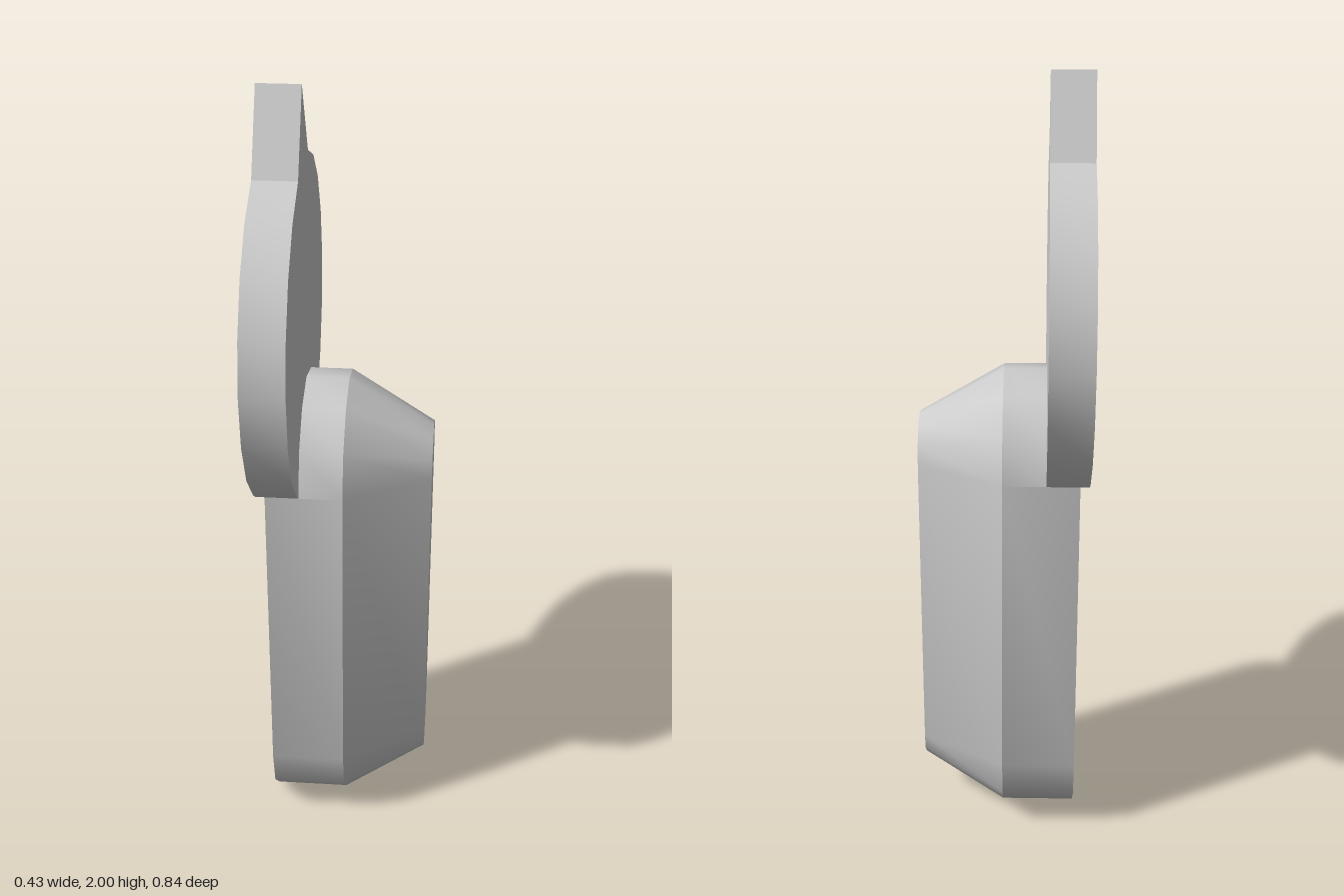
import * as THREE from 'three';
import { mergeGeometries, toCreasedNormals } from 'three/addons/utils/BufferGeometryUtils.js';

const material = new THREE.MeshStandardMaterial({ color: 0xcccccc, side: THREE.DoubleSide });

// Outlines are drawn in a local XY plane, with depth along local z
const DEPTH = { rimBack: -0.213, back: -0.19, plate: -0.107, shoulder: 0, nose: 0.213 };
const DISC = { y: 1.405, r: 0.42 };
const BODY = { low: 0.22, high: 1.045, r: 0.22 };
const NOSE = { low: 0.229, high: 1.042, r: 0.1 };

// Points on an arc, counterclockwise from angle a to angle b
function arc(cy, r, a, b, n) {
  return Array.from({ length: n + 1 }, (_, i) => {
    const t = a + ((b - a) * i) / n;
    return new THREE.Vector2(r * Math.cos(t), cy + r * Math.sin(t));
  });
}
const topArc = (s) => arc(s.high, s.r, 0, Math.PI, 6);
const bottomArc = (s) => arc(s.low, s.r, Math.PI, Math.PI * 2, 6);
const slot = (s) => [...topArc(s), ...bottomArc(s), new THREE.Vector2(s.r, s.high)];

// Surface between outline a at depth za and outline b at depth zb
function strip(a, b, za, zb) {
  const pos = [];
  for (let i = 0; i < a.length - 1; i++) {
    const p = [a[i].x, a[i].y, za], q = [a[i + 1].x, a[i + 1].y, za];
    const r = [b[i + 1].x, b[i + 1].y, zb], s = [b[i].x, b[i].y, zb];
    pos.push(...p, ...q, ...r, ...p, ...r, ...s);
  }
  const g = new THREE.BufferGeometry();
  g.setAttribute('position', new THREE.Float32BufferAttribute(pos, 3));
  return g;
}
const smooth = (...parts) => toCreasedNormals(mergeGeometries(parts), 0.65);

function flat(points, z) {
  return new THREE.ShapeGeometry(new THREE.Shape(points)).translate(0, 0, z);
}

export function createModel() {
  const model = new THREE.Group();
  model.name = 'model';
  const add = (name, geometry) => {
    const mesh = new THREE.Mesh(geometry, material);
    mesh.name = name;
    model.add(mesh);
  };

  // Disc outline, broken by the spike above and the body below
  const spikeHalf = Math.asin(0.107 / DISC.r);
  const start = Math.PI / 2 + spikeHalf;
  const step = (Math.PI * 2 - spikeHalf * 2) / 18;
  const ring = arc(DISC.y, DISC.r, start, start + step * 18, 18);
  const cornerL = new THREE.Vector2(-BODY.r, BODY.high);
  const cornerR = new THREE.Vector2(BODY.r, BODY.high);
  const leftRim = [...ring.slice(0, 8), cornerL];
  const lowRim = [cornerL, ...ring.slice(8, 11), cornerR];
  const rightRim = [cornerR, ...ring.slice(11)];
  const tip = new THREE.Vector2(0, 2);

  // Shallow disc tray, open at its back
  add('discPlate', flat([tip, ...leftRim, ...topArc(BODY).reverse().slice(1, -1), ...rightRim], DEPTH.plate));
  add('discRim', smooth(
    strip(leftRim, leftRim, DEPTH.rimBack, DEPTH.plate),
    strip(lowRim, lowRim, DEPTH.rimBack, DEPTH.back),
    strip(rightRim, rightRim, DEPTH.rimBack, DEPTH.plate)));
  const spike = [ring[18], tip, ring[0]];
  add('spike', smooth(strip(spike, spike, DEPTH.rimBack, DEPTH.plate)));

  // Hollow slot-shaped body, its upper end opening into the tray
  const lower = [cornerL, ...bottomArc(BODY), cornerR];
  const upper = topArc(BODY);
  add('bodyWall', smooth(
    strip(lower, lower, DEPTH.back, DEPTH.shoulder),
    strip(upper, upper, DEPTH.plate, DEPTH.shoulder)));
  add('bodyBack', flat([...lower, ...lowRim.slice(1, -1).reverse()], DEPTH.back));

  // Bevel narrowing to the flat nose
  add('bodyBevel', smooth(strip(slot(BODY), slot(NOSE), DEPTH.shoulder, DEPTH.nose)));
  add('bodyNose', flat(slot(NOSE).slice(0, -1), DEPTH.nose));

  // Turn local depth to run along x
  model.rotation.y = Math.PI / 2;
  const group = new THREE.Group();
  group.name = 'slottedBodyWithDisc';
  group.add(model);
  return group;
}
